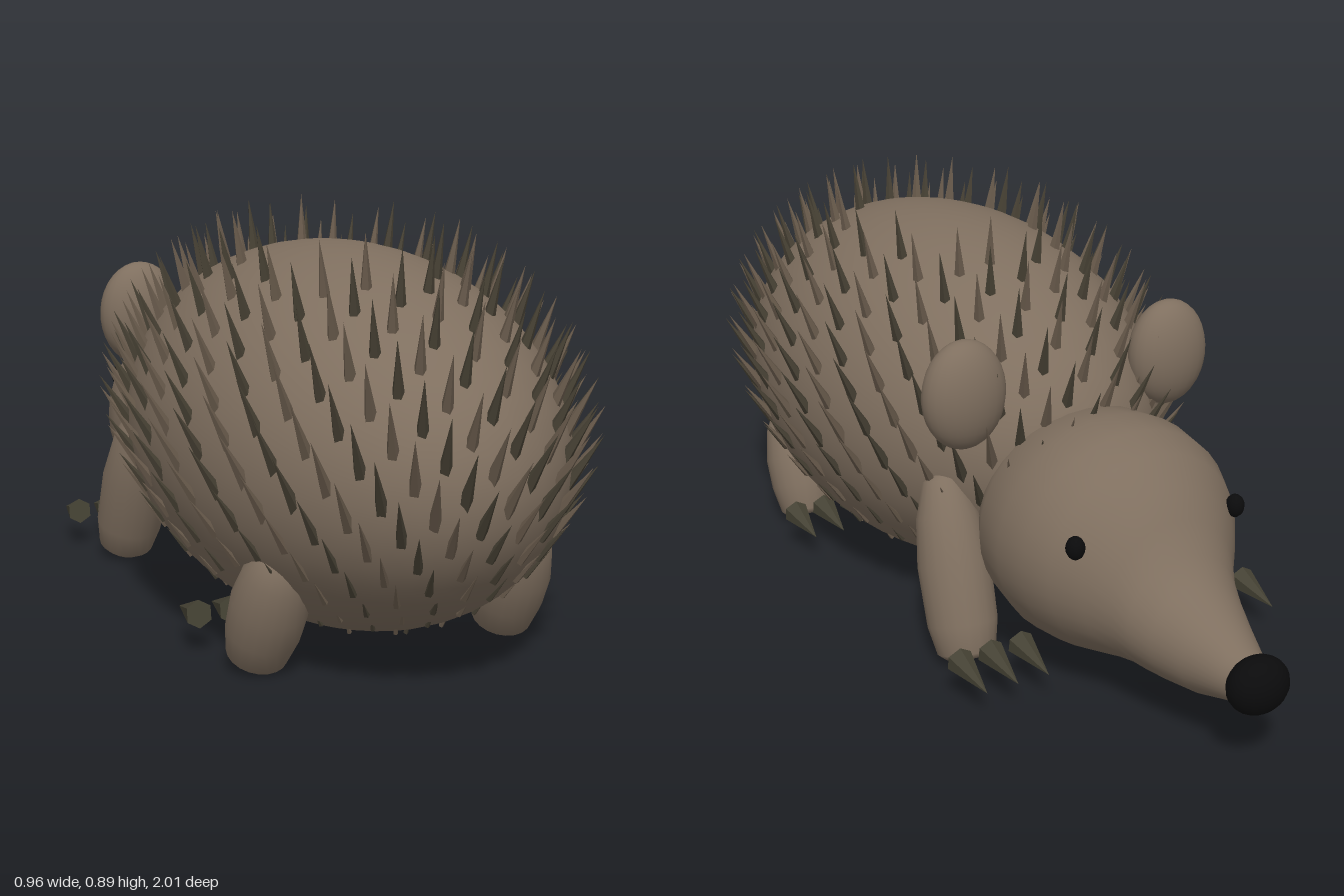
import * as THREE from 'three';
import { mergeGeometries, mergeVertices } from 'three/addons/utils/BufferGeometryUtils.js';

const mat = (name, color, flatShading = false) => {
  const m = new THREE.MeshStandardMaterial({ color, flatShading });
  m.name = name;
  return m;
};

// Head cross-sections from snout tip to nape: z, centre y, half width, half height
const headRings = [
  [-0.95, 0.187, 0.042, 0.045], [-0.9, 0.186, 0.058, 0.056], [-0.82, 0.193, 0.088, 0.088],
  [-0.75, 0.206, 0.115, 0.109], [-0.7, 0.224, 0.134, 0.131], [-0.66, 0.254, 0.155, 0.162],
  [-0.62, 0.279, 0.188, 0.191], [-0.56, 0.297, 0.233, 0.222], [-0.5, 0.304, 0.259, 0.245],
  [-0.42, 0.303, 0.27, 0.254], [-0.32, 0.302, 0.255, 0.24], [-0.22, 0.3, 0.2, 0.19],
  [-0.15, 0.3, 0.1, 0.1],
];

function headGeometry() {
  const g = new THREE.CylinderGeometry(1, 1, 1, 36, headRings.length - 1, true).rotateX(-Math.PI / 2);
  const p = g.attributes.position;
  for (let i = 0; i < p.count; i++) {
    const [z, y, rx, ry] = headRings[Math.floor(i / 37)];
    p.setXYZ(i, p.getX(i) * rx, y + p.getY(i) * ry, z);
  }
  g.deleteAttribute('uv');
  g.deleteAttribute('normal');
  const welded = mergeVertices(g, 1e-4);
  welded.computeVertexNormals();
  return welded;
}

export function createModel() {
  const model = new THREE.Group();
  model.name = 'hedgehog';
  const skin = mat('brown skin', 0x7f6f5f);
  const darkSpine = mat('dark spine', 0x474134, true);
  const brownSpine = mat('brown spine', 0x695b4c, true);
  const clawMat = mat('olive claw', 0x454234, true);
  const black = mat('black', 0x0b0b0c);

  const add = (name, geometry, material, x = 0, y = 0, z = 0) => {
    const mesh = new THREE.Mesh(geometry, material);
    mesh.name = name;
    mesh.position.set(x, y, z);
    model.add(mesh);
    return mesh;
  };
  const ellipsoid = (rx, ry, rz, seg = 32) =>
    new THREE.SphereGeometry(1, seg, Math.round(seg * 0.7)).scale(rx, ry, rz);

  // Body, head and nose; the animal faces -z
  const radii = new THREE.Vector3(0.42, 0.4, 0.66);
  const centre = new THREE.Vector3(0, 0.42, 0.29);
  add('body', ellipsoid(...radii.toArray(), 40), skin, ...centre.toArray());
  add('head', headGeometry(), skin);
  add('nose', ellipsoid(0.068, 0.06, 0.05, 20), black, 0, 0.19, -0.95);

  // Spines spread over the back in a spiral, swept upwards and shorter towards the belly
  const up = new THREE.Vector3(0, 1, 0);
  const spines = [[], []];
  const count = 460;
  for (let i = 0; i < count; i++) {
    const h = 1 - (2 * (i + 0.5)) / count;
    if (h > 0.9 || h < -0.88) continue; // bare crown and belly
    const r = Math.sqrt(1 - h * h);
    const a = i * Math.PI * (3 - Math.sqrt(5));
    const unit = new THREE.Vector3(r * Math.cos(a), h, r * Math.sin(a));
    const base = unit.clone().multiply(radii).add(centre);
    const normal = unit.divide(radii).normalize();
    const dir = normal.multiplyScalar(0.54).addScaledVector(up, 0.83).normalize();
    const q = new THREE.Quaternion().setFromUnitVectors(up, dir);
    const size = Math.min(1, Math.max(0.35, 1 + h * 0.9));
    spines[i % 2].push(new THREE.ConeGeometry(0.015, 0.14, 5).translate(0, 0.042, 0)
      .scale(size, size, size).applyQuaternion(q).translate(base.x, base.y, base.z));
  }
  add('darkSpines', mergeGeometries(spines[0]), darkSpine);
  add('brownSpines', mergeGeometries(spines[1]), brownSpine);

  // Leg that tapers upwards from a flat sole
  const leg = (length) => new THREE.LatheGeometry(
    [[0, 0], [0.05, 0], [0.064, 0.012], [0.077, 0.075], [0.08, length * 0.5],
      [0.068, length * 0.75], [0.042, length * 0.94], [0, length]]
      .map(([x, y]) => new THREE.Vector2(x, y)), 20);

  // Paired parts
  for (const [side, s] of [['left', 1], ['right', -1]]) {
    add(side + 'Ear', ellipsoid(0.095, 0.12, 0.062, 24), skin, s * 0.255, 0.6, -0.258);
    add(side + 'Eye', ellipsoid(0.02, 0.025, 0.021, 12), black, s * 0.196, 0.38, -0.602);
    for (const [part, z, length, tilt] of [['Front', -0.315, 0.41, 0.36], ['Hind', 0.51, 0.29, 0.42]]) {
      add(side + part + 'Leg', leg(length), skin, s * 0.283, 0.02, z).rotation.set(tilt, 0, s * 0.04);
      // Three claws ahead of each foot
      for (const dx of [-0.073, 0, 0.073]) {
        const claw = add(side + part + 'Claw', new THREE.ConeGeometry(0.03, 0.12, 6), clawMat,
          s * (0.29 + dx), 0.077, z - 0.168);
        claw.rotation.x = -Math.PI / 2 - 0.16;
      }
    }
  }
  return model;
}
